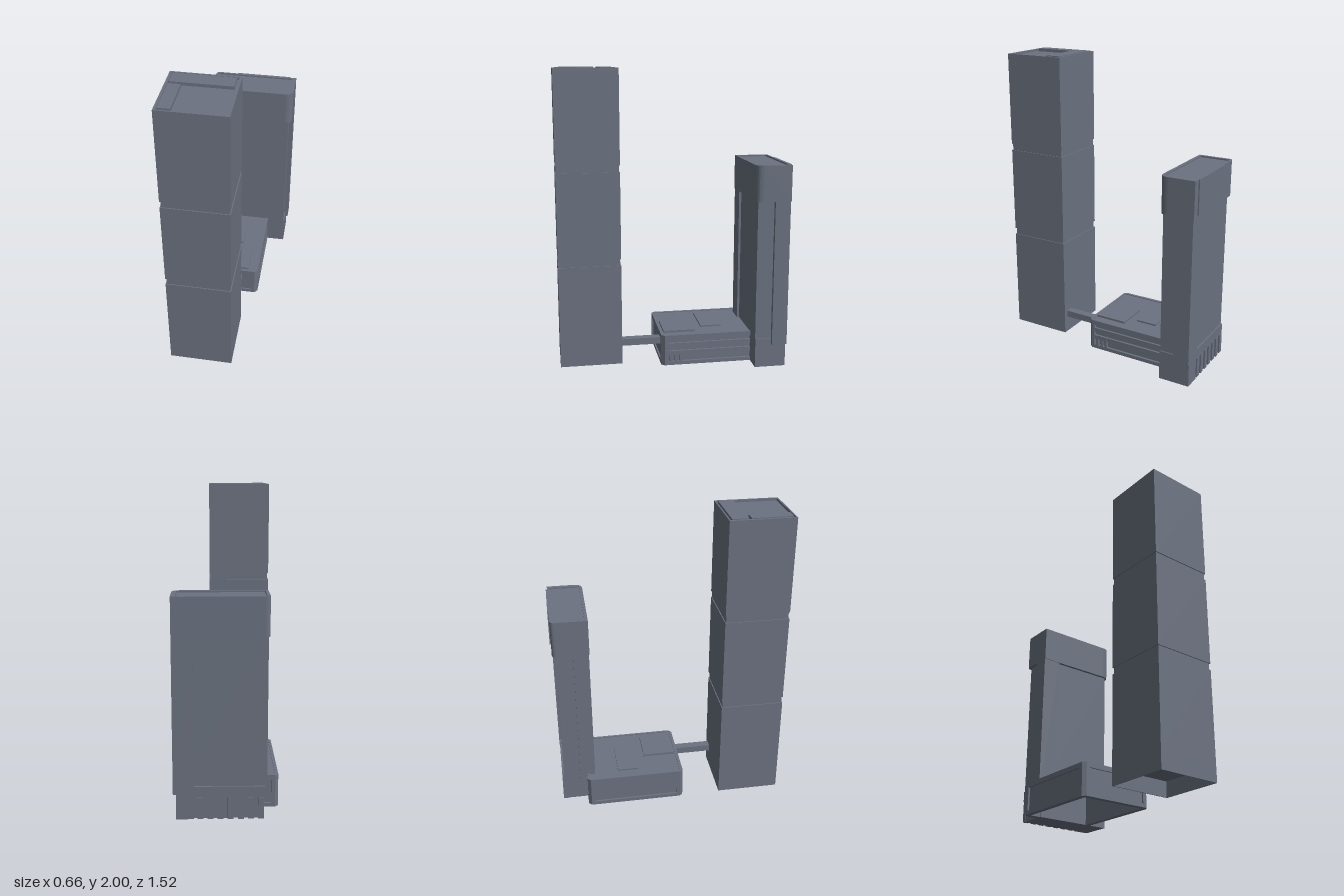
import * as THREE from 'three';

const wall = new THREE.MeshStandardMaterial({ color: 0x6b7280 });
wall.name = 'slate grey';

// plan outline with corner cuts [back left, back right, front right, front left], right meaning +x
function outline(x0, x1, z0, z1, cuts = [0, 0, 0, 0], Type = THREE.Shape) {
  const [a, b, c, d] = cuts;
  const s = new Type();
  const corner = (px, pz, ex, ez, r) => { if (r) s.quadraticCurveTo(px, -pz, ex, -ez); };
  s.moveTo(x0, -(z1 - d));
  corner(x0, z1, x0 + d, z1, d);
  s.lineTo(x1 - c, -z1);
  corner(x1, z1, x1, z1 - c, c);
  s.lineTo(x1, -(z0 + b));
  corner(x1, z0, x1 - b, z0, b);
  s.lineTo(x0 + a, -z0);
  corner(x0, z0, x0, z0 + a, a);
  s.lineTo(x0, -(z1 - d));
  return s;
}

// vertical extrusion of a plan outline, optionally hollow
function prism(parent, name, plan, y0, y1, hole, segments = 8) {
  if (hole) plan.holes.push(hole);
  const g = new THREE.ExtrudeGeometry(plan, { depth: y1 - y0, bevelEnabled: false, curveSegments: segments });
  g.rotateX(-Math.PI / 2).translate(0, y0, 0);
  const m = new THREE.Mesh(g, wall);
  m.name = name;
  parent.add(m);
}

// box given by its limits
function block(parent, name, x0, x1, y0, y1, z0, z1) {
  const m = new THREE.Mesh(new THREE.BoxGeometry(x1 - x0, y1 - y0, z1 - z0), wall);
  m.position.set((x0 + x1) / 2, (y0 + y1) / 2, (z0 + z1) / 2);
  m.name = name;
  parent.add(m);
}

const opening = (x0, x1, z0, z1) => outline(x0, x1, z0, z1, undefined, THREE.Path);

function group(parent, name) {
  const g = new THREE.Group();
  g.name = name;
  parent.add(g);
  return g;
}

function buildTower(root) {
  const t = group(root, 'tallTower');
  const [x0, x1, z0, z1] = [-0.32, 0.1, 0.34, 0.76];
  // hollow foot, then three storeys split by shallow grooves
  prism(t, 'towerFoot', outline(x0, x1, z0, z1), 0, 0.1, opening(x0 + 0.006, x1 - 0.006, z0 + 0.006, z1 - 0.006));
  block(t, 'towerLower', x0, x1, 0.1, 0.695, z0, z1);
  block(t, 'towerMiddle', x0, x1, 0.74, 1.325, z0, z1);
  block(t, 'towerUpper', x0, x1, 1.37, 1.98, z0, z1);
  for (const y of [0.695, 1.325]) block(t, 'towerGroove', x0 + 0.006, x1 - 0.006, y, y + 0.045, z0 + 0.006, z1 - 0.006);
  // parapet and roof blocks
  prism(t, 'towerParapet', outline(x0, x1, z0, z1), 1.98, 1.996, opening(x0 + 0.015, x1 - 0.015, z0 + 0.01, z1 - 0.01));
  block(t, 'roofBlockBack', -0.3, 0.073, 1.975, 2, 0.36, 0.46);
  block(t, 'roofBlockSide', -0.3, -0.225, 1.975, 2, 0.48, 0.74);
}

function buildPodium(root) {
  const p = group(root, 'podium');
  const [x0, x1, z0, z1] = [-0.33, 0.182, -0.58, 0.08];
  const cuts = [0.02, 0.02, 0.022, 0.02];
  const hollow = () => opening(x0 + 0.035, x1 - 0.035, z0 + 0.035, z1 - 0.035);
  // recessed wall between full-width bands
  prism(p, 'podiumWall', outline(x0 + 0.012, x1 - 0.016, z0 + 0.012, z1 - 0.01), 0.025, 0.18, hollow());
  prism(p, 'podiumPlinth', outline(x0, x1, z0, z1, cuts), 0, 0.025, hollow(), 1);
  prism(p, 'podiumCornice', outline(x0, x1, z0, z1, cuts), 0.18, 0.205, hollow(), 1);
  prism(p, 'podiumRim', outline(x0, x1, z0, z1, cuts), 0.205, 0.212, opening(x0 + 0.02, x1 - 0.015, z0 + 0.02, z1 - 0.02), 1);
  block(p, 'podiumDeck', x0 + 0.018, x1 - 0.013, 0.19, 0.207, z0 + 0.018, z1 - 0.018);
  // corner posts framing the walls
  const post = 0.045;
  prism(p, 'cornerPost', outline(x0, x0 + post, z1 - post, z1, [0, 0, 0, 0.02]), 0.025, 0.18, null, 1);
  prism(p, 'cornerPost', outline(x1 - post, x1, z1 - post, z1, [0, 0, 0.022, 0]), 0.025, 0.18, null, 1);
  prism(p, 'cornerPost', outline(x0, x0 + post, z0, z0 + post, [0.02, 0, 0, 0]), 0.025, 0.18, null, 1);
  // horizontal ledges and short fins on the +x wall
  for (const y of [0.07, 0.125]) block(p, 'wallLedge', x1 - 0.03, x1 - 0.002, y, y + 0.03, z0, z1 - post);
  for (let i = 0; i < 3; i++) {
    const z = 0.015 - i * 0.035;
    block(p, 'wallFin', x1 - 0.03, x1, 0.01, 0.1, z - 0.008, z + 0.008);
  }
  // roof panels, also seen from the hollow underside
  block(p, 'roofPanelBack', -0.25, 0.033, 0.182, 0.218, -0.365, -0.22);
  block(p, 'roofPanelFront', -0.11, 0.11, 0.182, 0.221, -0.165, 0.055);
}

function buildSlab(root) {
  const s = group(root, 'slabTower');
  // overhanging head with one large rounded corner
  const [x0, x1, z0, z1] = [-0.255, 0.328, -0.757, -0.52];
  const cuts = [0.03, 0, 0.06, 0];
  prism(s, 'slabHead', outline(x0, x1, z0, z1, cuts), 1.14, 1.37);
  prism(s, 'slabParapet', outline(x0, x1, z0, z1, cuts), 1.37, 1.38, opening(x0 + 0.02, x1 - 0.028, z0 + 0.015, z1 - 0.02));
  block(s, 'headPlate', -0.1, 0.28, 1.155, 1.38, -0.765, -0.755);
  // recessed shaft and the two flush wings at opposite corners
  block(s, 'slabShaft', -0.232, 0.302, 0.16, 1.14, -0.737, -0.54);
  block(s, 'wingFront', x0, -0.13, 0.16, 1.14, -0.625, -0.524);
  block(s, 'wingBack', 0.2, x1, 0.16, 1.14, -0.753, -0.65);
  // foot with a ledge and a row of fins along the back
  block(s, 'slabFoot', -0.225, 0.31, 0, 0.2, -0.735, -0.54);
  block(s, 'footLedge', -0.232, 0.2, 0.14, 0.21, -0.747, -0.7);
  block(s, 'footCorner', 0.2, 0.31, 0, 0.16, -0.75, -0.7);
  for (let i = 0; i < 7; i++) {
    const x = -0.21 + i * 0.062;
    block(s, 'footFin', x - 0.018, x + 0.018, 0, 0.14, -0.75, -0.72);
  }
}

export function createModel() {
  const root = new THREE.Group();
  root.name = 'buildingComplex';
  buildTower(root);
  buildPodium(root);
  buildSlab(root);
  // link between tower and podium
  block(root, 'skyBridge', 0.012, 0.067, 0.115, 0.162, 0.06, 0.345);
  return root;
}
